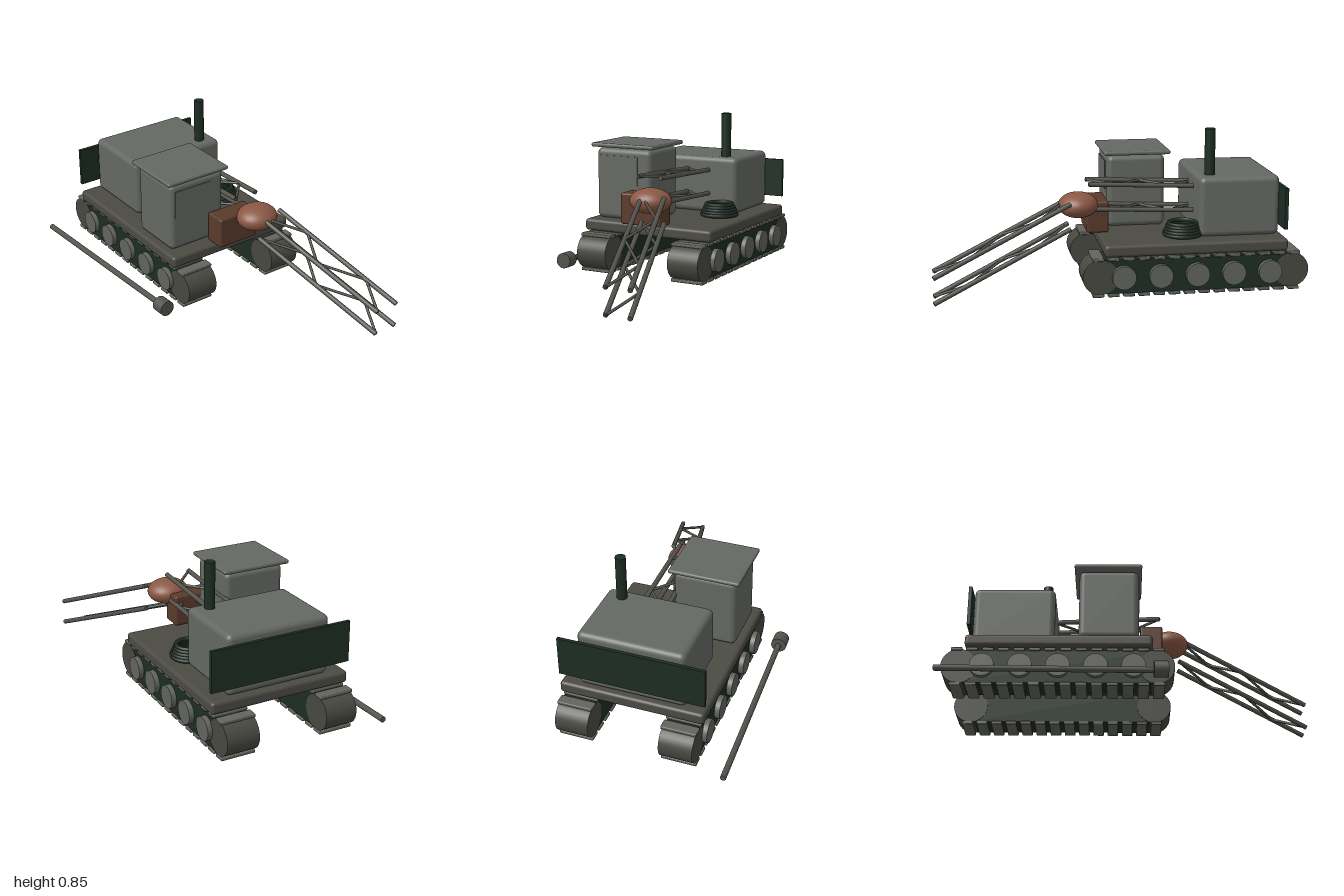
import * as THREE from 'three';
import { RoundedBoxGeometry } from 'three/addons/geometries/RoundedBoxGeometry.js';

const mat = (name, color) => {
  const m = new THREE.MeshStandardMaterial({ color });
  m.name = name;
  return m;
};

export function createModel() {
  const root = new THREE.Group();
  root.name = 'excavator';
  const M = {
    body: mat('bodyGrey', 0x646862),
    deck: mat('deckGrey', 0x4b4a43),
    track: mat('trackGrey', 0x484841),
    steel: mat('steel', 0x53534d),
    wheel: mat('wheelGrey', 0x62645d),
    dark: mat('darkGreen', 0x1d2d23),
    rust: mat('rustBrown', 0x5a3a2c),
    clay: mat('clay', 0x8a5844),
  };

  const add = (parent, name, geo, material, x = 0, y = 0, z = 0) => {
    const mesh = new THREE.Mesh(geo, material);
    mesh.name = name;
    mesh.position.set(x, y, z);
    parent.add(mesh);
    return mesh;
  };
  // Box given by its minimum and maximum corners
  const box = (parent, name, a, b, material, r = 0) => {
    const s = a.map((v, i) => b[i] - v);
    const geo = r ? new RoundedBoxGeometry(...s, 4, r) : new THREE.BoxGeometry(...s);
    return add(parent, name, geo, material, ...a.map((v, i) => (v + b[i]) / 2));
  };
  // Round bar between two points
  const bar = (parent, name, a, b, r, material, sides = 12) => {
    const dir = b.clone().sub(a);
    const mesh = add(parent, name, new THREE.CylinderGeometry(r, r, dir.length(), sides), material);
    mesh.position.copy(a).add(b).multiplyScalar(0.5);
    mesh.quaternion.setFromUnitVectors(new THREE.Vector3(0, 1, 0), dir.normalize());
    return mesh;
  };
  const V = (x, y, z) => new THREE.Vector3(x, y, z);
  const disc = (r, w) => new THREE.CylinderGeometry(r, r, w, 32).rotateX(Math.PI / 2);

  // Crawler tracks; side is the outward z direction
  for (const [zc, side] of [[0.215, 1], [-0.35, -1]]) {
    const track = new THREE.Group();
    track.name = side > 0 ? 'frontTrack' : 'backTrack';
    track.position.z = zc;
    root.add(track);
    box(track, 'trackFrame', [-0.9, 0.02, -0.087], [0.13, 0.203, 0.087], M.dark);
    for (const x of [-0.9, 0.126]) add(track, 'endDrum', disc(0.094, 0.18), M.track, x, 0.111, 0);
    for (let i = 0; i < 5; i++)
      add(track, 'roadWheel', disc(0.063, 0.03), M.wheel, -0.78 + i * 0.196, 0.11, side * 0.1);
    for (let i = 0; i < 14; i++)
      for (const y of [0.012, 0.207])
        add(track, 'trackPlate', new RoundedBoxGeometry(0.06, 0.018, 0.19, 2, 0.005), M.wheel,
          -0.915 + i * 0.081, y, 0);
  }

  // Turntable deck, engine house and cab
  box(root, 'deck', [-0.875, 0.22, -0.46], [0.105, 0.285, 0.325], M.deck, 0.018);
  box(root, 'engineHouse', [-0.85, 0.285, -0.36], [-0.415, 0.607, 0.22], M.body, 0.03);
  box(root, 'cab', [-0.285, 0.285, -0.055], [0.033, 0.68, 0.29], M.body, 0.03);
  box(root, 'cabWindow', [0.031, 0.48, 0.027], [0.037, 0.64, 0.263], M.body);
  box(root, 'cabRoof', [-0.312, 0.685, -0.077], [0.052, 0.708, 0.314], M.body, 0.01);
  box(root, 'rearPanel', [-0.868, 0.337, -0.46], [-0.85, 0.558, 0.33], M.dark);
  add(root, 'exhaust', new THREE.CylinderGeometry(0.028, 0.028, 0.27, 24), M.dark, -0.486, 0.72, -0.263);

  // Cable coil on the deck
  for (let i = 0; i < 5; i++)
    add(root, 'cableCoil', new THREE.TorusGeometry(0.098 - i * 0.006, 0.011, 8, 36).rotateX(Math.PI / 2),
      M.dark, -0.335, 0.298 + i * 0.014, -0.297);

  // Boom foot and joint
  box(root, 'boomFoot', [0.045, 0.288, -0.188], [0.166, 0.46, 0.058], M.rust, 0.012);
  add(root, 'boomJoint', new THREE.SphereGeometry(1, 32, 24), M.clay, 0.209, 0.44, -0.155)
    .scale.set(0.107, 0.069, 0.115);

  // Lattice: two levels, each with two chords and zigzag lacing
  const lattice = (name, start, end, drop, half) => {
    const g = new THREE.Group();
    g.name = name;
    root.add(g);
    for (const dy of [0, -drop]) {
      const at = (t, s) => start.clone().lerp(end, t).add(V(0, dy, s * half));
      for (const s of [-1, 1]) bar(g, 'chord', at(0, s), at(1, s), 0.013, M.steel);
      for (let i = 0; i < 4; i++) {
        const s = i % 2 ? -1 : 1;
        bar(g, 'lacing', at(i / 4, s), at((i + 1) / 4, -s), 0.0075, M.steel, 8);
      }
    }
  };
  lattice('innerBoom', V(-0.43, 0.53, -0.118), V(0.155, 0.556, -0.118), 0.135, 0.067);
  lattice('outerBoom', V(0.262, 0.468, -0.198), V(0.988, 0.158, -0.415), 0.135, 0.067);

  // Loose pole with a round head lying in front
  bar(root, 'pole', V(-1, 0.028, 0.472), V(0.12, 0.04, 0.424), 0.016, M.steel);
  bar(root, 'poleHead', V(0.106, 0.044, 0.426), V(0.18, 0.045, 0.423), 0.043, M.steel, 28);

  return root;
}
